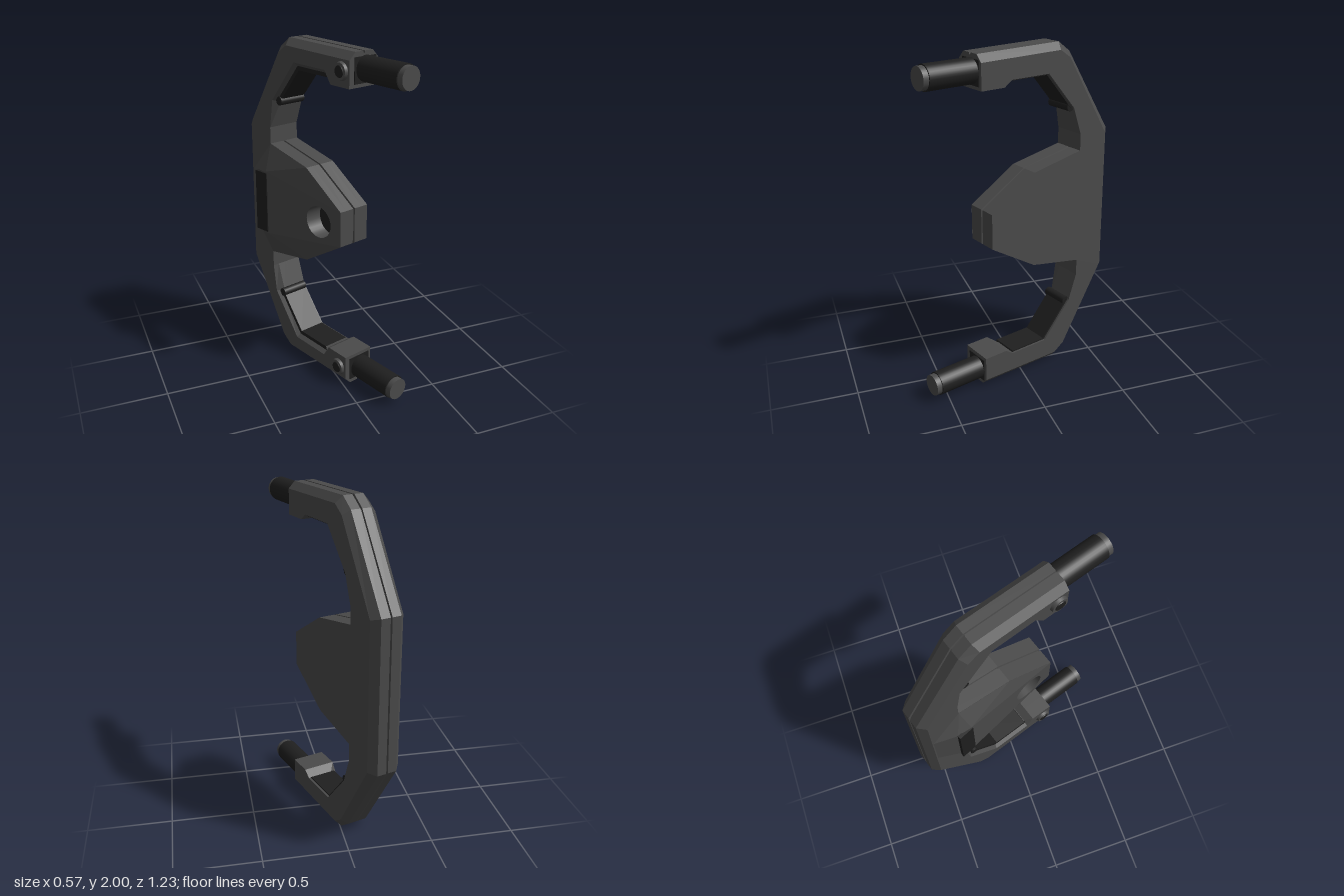
import * as THREE from 'three';

const body = new THREE.MeshStandardMaterial({ color: 0x4b4b4b, side: THREE.DoubleSide });
body.name = 'grey shell';
const dark = new THREE.MeshStandardMaterial({ color: 0x1f1f1f, side: THREE.DoubleSide });
dark.name = 'black rubber';

const mirror = pts => pts.map(([u, y]) => [u, 2 - y]);
const lerp = (a, b, t) => a.map((p, i) => p.map((v, k) => v + (b[i][k] - v) * t));

// Profile in the (z, y) plane, upper half only
const outer = [[0.307, 1.992], [-0.24, 2], [-0.32, 1.94], [-0.626, 1.45]];
const outerChamfer = [[0.307, 1.952], [-0.225, 1.96], [-0.295, 1.912], [-0.582, 1.438]];
const inner = [[0.307, 1.805], [0.158, 1.805], [0.108, 1.84], [-0.144, 1.84], [-0.333, 1.62],
  [-0.39, 1.455], [-0.39, 1.355], [-0.05, 1.29], [0.25, 1.105]];
const innerLip = inner.map(([u, y], i) =>
  i === 2 || i === 3 ? [u - (i === 3 ? 0.012 : 0), y + 0.035] : i === 4 ? [u - 0.03, y + 0.005] : [u, y]);
const innerGroove = inner.map(([u, y], i) => (i > 5 ? [i > 6 ? u - 0.008 : u, y - 0.01] : [u, y]));
const outerGroove = lerp(outer, outerChamfer, 0.3);

// Closed loop, mirrored about y = 1
const loop = (o, i) => [...o, ...mirror(o).reverse(), ...mirror(i), ...[...i].reverse()];

const HOLE = { u: 0.08, r: 0.095 };
const holePts = Array.from({ length: 28 }, (_, i) => {
  const a = -i / 28 * Math.PI * 2;
  return [HOLE.u + HOLE.r * Math.cos(a), 1 + HOLE.r * Math.sin(a)];
});

function fromTriangles(pos) {
  const g = new THREE.BufferGeometry();
  g.setAttribute('position', new THREE.Float32BufferAttribute(pos, 3));
  g.computeVertexNormals();
  return g;
}

// Loft of matching outlines across x; the first cap has the round opening
function loft(layers) {
  const pos = [];
  const put = (w, [u, y]) => pos.push(w, y, u);
  for (let k = 0; k < layers.length - 1; k++) {
    const [w0, a] = layers[k], [w1, b] = layers[k + 1];
    a.forEach((p, i) => {
      const j = (i + 1) % a.length;
      put(w0, p); put(w1, b[i]); put(w1, b[j]);
      put(w0, p); put(w1, b[j]); put(w0, a[j]);
    });
  }
  const cap = ([w, pts], hole, flip) => {
    const v = l => l.map(p => new THREE.Vector2(...p));
    const all = hole ? [...pts, ...hole] : pts;
    for (const f of THREE.ShapeUtils.triangulateShape(v(pts), hole ? [v(hole)] : []))
      (flip ? [f[0], f[2], f[1]] : f).forEach(i => put(w, all[i]));
  };
  cap(layers[0], holePts, false);
  cap(layers[layers.length - 1], null, true);
  return fromTriangles(pos);
}

export function createModel() {
  const root = new THREE.Group();
  root.name = 'controllerGrip';
  root.rotation.y = THREE.MathUtils.degToRad(18);
  const add = (name, geo, mat, x = 0, y = 0, z = 0) => {
    const m = new THREE.Mesh(geo, mat);
    m.name = name;
    m.position.set(x, y, z);
    root.add(m);
    return m;
  };

  // Main frame with chamfered outer rim and a centre seam
  const full = loop(outer, inner), groove = loop(outerGroove, innerGroove);
  add('frame', loft([
    [-0.093, loop(outerChamfer, innerLip)], [-0.053, full], [0.001, full], [0.003, groove],
    [0.011, groove], [0.013, full], [0.068, full], [0.107, loop(outerChamfer, inner)],
  ]), body);

  // Raised palm cover: sloped face with opening
  const slope = u => -0.094 - 0.062 * (0.25 - u) / 0.61;
  const face = new THREE.Shape([[0.25, 0.895], [0.25, 1.105], [-0.36, 1.2], [-0.36, 0.8]]
    .map(p => new THREE.Vector2(...p)));
  face.holes.push(new THREE.Path(holePts.map(p => new THREE.Vector2(...p))));
  const faceGeo = new THREE.ShapeGeometry(face);
  const fp = faceGeo.attributes.position;
  for (let i = 0; i < fp.count; i++) {
    const u = fp.getX(i), y = fp.getY(i);
    fp.setXYZ(i, slope(u), y, u);
  }
  faceGeo.computeVertexNormals();
  add('palmFace', faceGeo, body);

  // Palm cover flanks and back slope
  const P = {
    tip: [-0.094, 1.105, 0.25], mid: [-0.094, 1.29, -0.05], top: [-0.094, 1.355, -0.39],
    ridge: [-0.156, 1.2, -0.36], ridgeBack: [-0.146, 1.18, -0.445], back: [-0.094, 1.15, -0.575],
  };
  const low = ([x, y, z]) => [x, 2 - y, z];
  const flank = [P.tip, P.mid, P.ridge, P.mid, P.top, P.ridge, P.top, P.ridgeBack, P.ridge,
    P.top, P.back, P.ridgeBack];
  const flip = flank.map((_, i) => low(flank[i - i % 3 + [0, 2, 1][i % 3]]));
  const quad = (a, b) => [a, b, low(b), a, low(b), low(a)];
  add('palmFlanks', fromTriangles([...flank, ...flip, ...quad(P.ridge, P.ridgeBack),
    ...quad(P.ridgeBack, P.back)].flat()), body);

  // Round recess in the palm
  const wall = new THREE.CylinderGeometry(HOLE.r, HOLE.r, 0.1, 28, 1, true);
  wall.rotateZ(Math.PI / 2);
  const wp = wall.attributes.position;
  for (let i = 0; i < wp.count; i++) wp.setX(i, wp.getX(i) < 0 ? slope(wp.getZ(i) + HOLE.u) : -0.02);
  add('recessWall', wall, body, 0, 1, HOLE.u);
  add('recessFloor', new THREE.CircleGeometry(HOLE.r, 28).rotateY(-Math.PI / 2), dark, -0.021, 1, HOLE.u);

  // Long button on the palm ridge
  add('palmButton', new THREE.BoxGeometry(0.022, 0.38, 0.095), dark, -0.154, 1, -0.4).rotation.y = 0.1;

  // Paired parts at the ends of both arms
  for (const [side, s] of [['upper', 1], ['lower', -1]]) {
    const Y = y => 1 + s * (y - 1);
    const rod = (r, len) => new THREE.CylinderGeometry(r, r, len, 32).rotateX(Math.PI / 2);
    add(side + 'Rod', rod(0.07, 0.3), dark, 0.02, Y(1.9), 0.45);
    add(side + 'RodCap', rod(0.063, 0.04), body, 0.02, Y(1.9), 0.612);
    add(side + 'Socket', new THREE.BoxGeometry(0.15, 0.14, 0.008), dark, 0.015, Y(1.895), 0.308);

    // Ring button on the arm's flat side
    const knob = (r, h) => new THREE.CylinderGeometry(r * 0.9, r, h, 24).rotateZ(Math.PI / 2);
    add(side + 'KnobRing', knob(0.052, 0.02), body, -0.1, Y(1.89), 0.245);
    add(side + 'KnobCentre', knob(0.034, 0.006), dark, -0.111, Y(1.89), 0.245);

    // Rubber pad along the inside bend
    const pad = new THREE.Shape([[0.12, 1.87], [0.1, 1.832], [-0.138, 1.832], [-0.322, 1.615],
      [-0.36, 1.63], [-0.165, 1.872]].map(([u, y]) => new THREE.Vector2(-u, Y(y))));
    const padGeo = new THREE.ExtrudeGeometry(pad, { depth: 0.165, bevelEnabled: false });
    padGeo.rotateY(Math.PI / 2);
    add(side + 'Pad', padGeo, dark, -0.07, 0, 0);
    add(side + 'PadRoll', new THREE.CylinderGeometry(0.026, 0.026, 0.17, 16).rotateZ(Math.PI / 2),
      dark, 0.008, Y(1.625), -0.32);
  }

  const group = new THREE.Group();
  group.name = 'model';
  group.add(root);
  return group;
}
